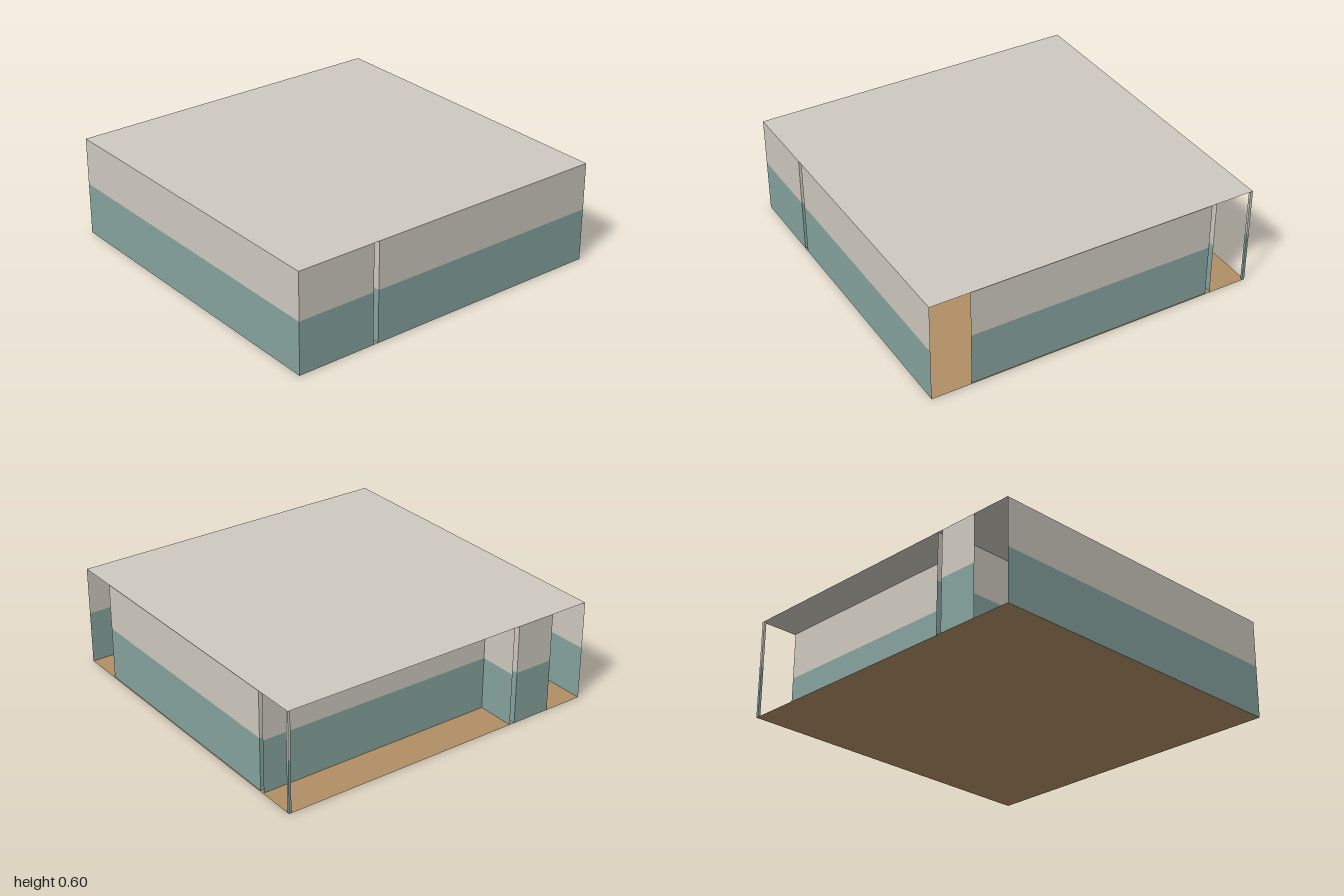
import * as THREE from 'three';

const HEIGHT = 0.6, SPLIT = 0.315;

export function createModel() {
  const model = new THREE.Group();
  const material = (name, color) => {
    const m = new THREE.MeshStandardMaterial({ color, side: THREE.DoubleSide });
    m.name = name;
    return m;
  };
  const plaster = material('warm grey plaster', 0xcec9c0);
  const paint = material('muted teal paint', 0x86a39e);
  const wood = material('tan wood floor', 0xb08f64);

  // Upright sheet between two plan points, teal below and grey above.
  const wall = (name, x1, z1, x2, z2) => {
    const group = new THREE.Group();
    group.name = name;
    const length = Math.hypot(x2 - x1, z2 - z1);
    for (const [part, low, high, mat] of [['lowerBand', 0, SPLIT, paint], ['upperBand', SPLIT, HEIGHT, plaster]]) {
      const mesh = new THREE.Mesh(new THREE.PlaneGeometry(length, high - low), mat);
      mesh.name = part;
      mesh.position.y = (low + high) / 2;
      group.add(mesh);
    }
    group.position.set((x1 + x2) / 2, 0, (z1 + z2) / 2);
    group.rotation.y = -Math.atan2(z2 - z1, x2 - x1);
    model.add(group);
  };

  // Floor and ceiling sheets
  const slab = (name, y, mat, turn) => {
    const mesh = new THREE.Mesh(new THREE.PlaneGeometry(2, 2), mat);
    mesh.name = name;
    mesh.position.y = y;
    mesh.rotation.x = turn;
    model.add(mesh);
  };
  slab('floor', 0, wood, -Math.PI / 2);
  slab('ceiling', HEIGHT, plaster, -Math.PI / 2);

  // Outer walls, with openings in the back wall and at the right end of the hall
  const front = 0.518, back = 0.485; // two faces of the hollow cross partition
  const inner = -0.735, outer = -0.765; // two faces of the hollow porch wall
  const rear = -0.993;
  wall('frontWall', -1, 1, 1, 1);
  wall('leftWallFront', 1, 1, 1, front);
  wall('leftWallBack', 1, back, 1, -1);
  wall('backWall', 0.76, rear, inner, rear);
  wall('hallEndWall', -1, front, -1, 0.76);

  // Hollow partitions, open at their ends
  wall('partitionFrontFace', -1, front, 1, front);
  wall('partitionBackFace', inner, back, 1, back);
  wall('porchEndWall', -1, back, outer, back);
  wall('porchWallInnerFace', inner, rear, inner, back);
  wall('porchWallOuterFace', outer, rear, outer, back);

  // Slim corner post of the porch
  const a = -1, b = -0.985;
  for (const [x1, z1, x2, z2] of [[a, a, b, a], [b, a, b, b], [b, b, a, b], [a, b, a, a]]) {
    wall('porchPost', x1, z1, x2, z2);
  }
  return model;
}
